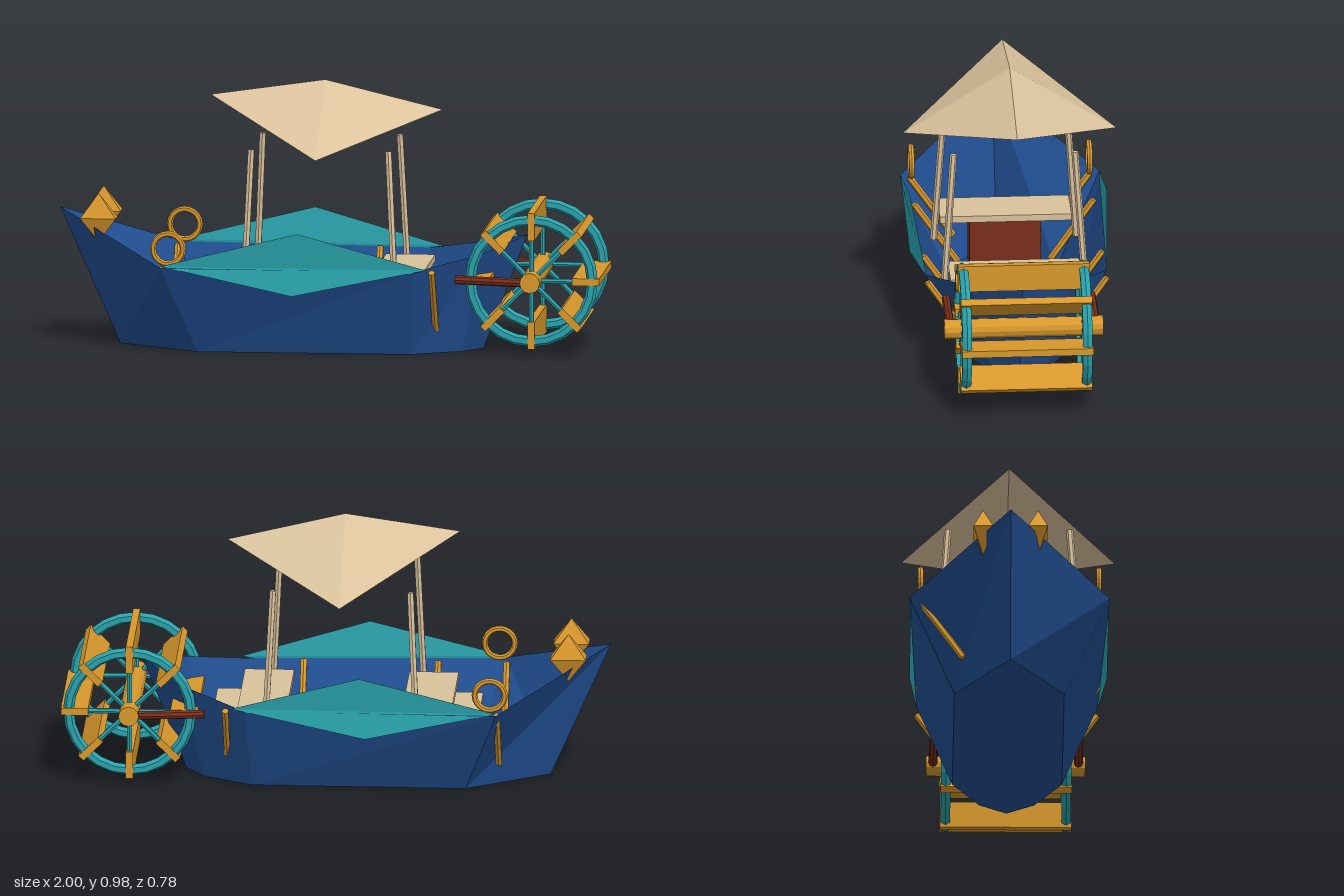
import * as THREE from 'three';

const mat = (name, color, double) => {
  const m = new THREE.MeshStandardMaterial({ color, flatShading: true, side: double ? THREE.DoubleSide : THREE.FrontSide });
  m.name = name;
  return m;
};

export function createModel() {
  const blue = mat('hull blue', 0x214f92, true);
  const teal = mat('teal', 0x2aa3ad, true);
  const gold = mat('gold', 0xd8982c);
  const tan = mat('tan', 0xdac29c, true);
  const red = mat('dark red', 0x7a2e1c);
  const boat = new THREE.Group();
  boat.name = 'paddleBoat';

  const add = (name, geo, material, x = 0, y = 0, z = 0, parent = boat) => {
    const m = new THREE.Mesh(geo, material);
    m.name = name;
    m.position.set(x, y, z);
    parent.add(m);
    return m;
  };
  // faces: list of polygons, each drawn as a triangle fan
  const faceted = (faces) => {
    const p = [];
    for (const f of faces) {
      for (let i = 1; i < f.length - 1; i++) p.push(...f[0], ...f[i], ...f[i + 1]);
    }
    const g = new THREE.BufferGeometry();
    g.setAttribute('position', new THREE.Float32BufferAttribute(p, 3));
    g.computeVertexNormals();
    return g;
  };
  // straight bar between two points
  const bar = (name, a, b, r, sides, material, parent = boat) => {
    const va = new THREE.Vector3(...a), vb = new THREE.Vector3(...b);
    const d = vb.clone().sub(va);
    const m = add(name, new THREE.CylinderGeometry(r, r, d.length(), sides), material, 0, 0, 0, parent);
    m.position.copy(va).add(vb).multiplyScalar(0.5);
    m.quaternion.setFromUnitVectors(new THREE.Vector3(0, 1, 0), d.normalize());
    return m;
  };
  const box = (w, h, d) => new THREE.BoxGeometry(w, h, d);

  // Hull: rim and keel outlines from bow to stern, mirrored in z
  const rim = [[-1, 0.5, 0], [-0.6, 0.33, 0.365], [0.32, 0.32, 0.33], [0.56, 0.37, 0.18], [0.71, 0.42, 0]];
  const keel = [[-0.78, 0, 0], [-0.48, 0, 0.2], [0.3, 0, 0.2], [0.48, 0, 0.1], [0.55, 0, 0]];
  const flip = ([x, y, z]) => [x, y, -z];
  const hull = [];
  for (let i = 0; i < 4; i++) {
    const side = [keel[i], keel[i + 1], rim[i + 1], rim[i]];
    const floor = [keel[i], flip(keel[i]), flip(keel[i + 1]), keel[i + 1]];
    hull.push(side, side.map(flip).reverse(), floor);
  }
  add('hull', faceted(hull), blue);

  // Canopy: shallow four-sided sail
  const apex = [-0.03, 0.98, 0];
  const corners = [[-0.45, 0.92, 0], [-0.03, 0.735, 0.39], [0.4, 0.875, 0], [-0.03, 0.735, -0.39]];
  add('canopy', faceted(corners.map((c, i) => [c, corners[(i + 1) % 4], apex])), tan);

  for (const s of [1, -1]) {
    // Folded side fins
    const front = [-0.6, 0.335, 0.362 * s], rear = [0.37, 0.328, 0.328 * s];
    const top = [-0.1, 0.46, 0.36 * s], low = [-0.12, 0.23, 0.36 * s];
    const fin = [[front, rear, top], [front, low, rear]];
    add('sideFin', faceted(s > 0 ? fin : fin.map((f) => f.slice().reverse())), teal);

    // Canopy posts
    bar('post', [-0.305, 0.2, 0.26 * s], [-0.28, 0.75, 0.222 * s], 0.013, 6, tan);
    bar('post', [0.25, 0.2, 0.26 * s], [0.222, 0.75, 0.222 * s], 0.013, 6, tan);

    // Hull ribs
    for (const x of [-0.6, -0.35, 0.14, 0.39]) {
      bar('rib', [x, 0.32, 0.328 * s], [x, 0.09, 0.17 * s], 0.013, 6, gold);
    }

    // Rim rings and bow lanterns
    add('rimRing', new THREE.TorusGeometry(0.055, 0.011, 6, 20), gold, -0.575, 0.395, 0.325 * s);
    const lantern = new THREE.OctahedronGeometry(1).rotateY(Math.PI / 4).scale(0.092, 0.09, 0.05);
    add('bowLantern', lantern, gold, -0.85, 0.475, 0.1 * s);

    // Arms holding the wheel
    bar('wheelArm', [0.47, 0.287, 0.265 * s], [0.745, 0.277, 0.265 * s], 0.016, 8, red);
  }

  // Benches on pedestals, each with a lower step
  for (const [x, dir] of [[-0.34, -1], [0.26, 1]]) {
    add('benchTop', box(0.18, 0.025, 0.48), tan, x, 0.295, 0);
    add('benchStep', box(0.14, 0.02, 0.3), tan, x + dir * 0.115, 0.25, 0);
    add('benchPedestal', box(0.12, 0.28, 0.26), red, x, 0.142, 0);
  }

  // Paddle wheel
  const wheel = new THREE.Group();
  wheel.name = 'paddleWheel';
  wheel.position.set(0.745, 0.28, 0);
  boat.add(wheel);
  bar('hub', [0, 0, -0.29], [0, 0, 0.29], 0.037, 12, gold, wheel);
  for (const z of [-0.22, 0.22]) {
    add('wheelRim', new THREE.TorusGeometry(0.223, 0.02, 6, 24), teal, 0, 0, z, wheel);
  }
  for (let i = 0; i < 8; i++) {
    const a = (i * Math.PI) / 4, c = Math.cos(a), s = Math.sin(a);
    const paddle = add('paddle', box(0.1, 0.026, 0.48), gold, c * 0.2, s * 0.2, 0, wheel);
    paddle.rotation.z = a;
    for (const z of [-0.22, 0.22]) {
      bar('spoke', [c * 0.02, s * 0.02, z], [c * 0.22, s * 0.22, z], 0.01, 6, teal, wheel);
    }
  }
  return boat;
}
